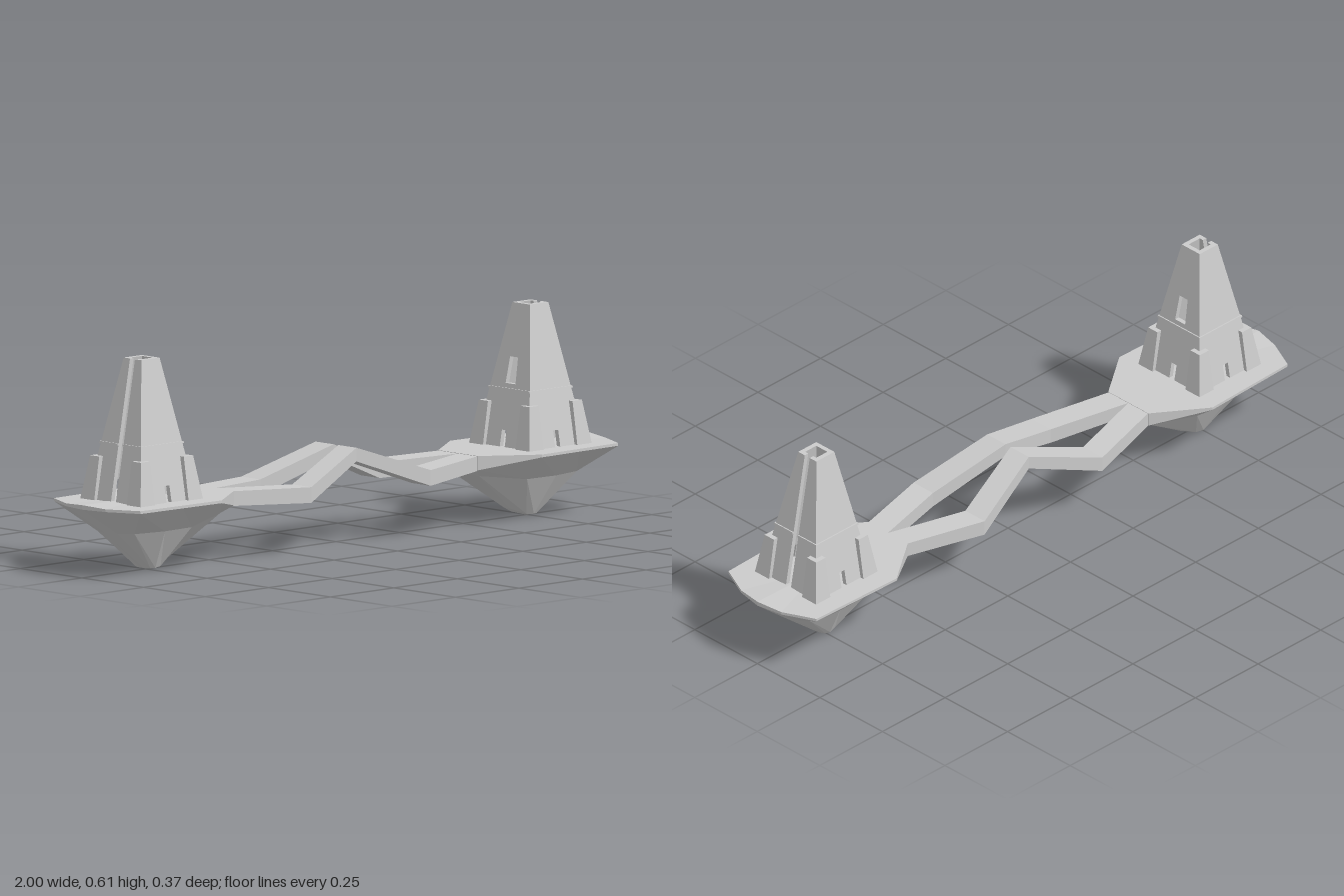
import * as THREE from 'three';

const mat = new THREE.MeshStandardMaterial({ color: 0xcccccc, flatShading: true, side: THREE.DoubleSide });

const BASE = 0.2, TOP = 0.605, WALL = 0.014;
const towerHalf = (y) => 0.036 + (TOP - y) * 0.187; // half width of the tapering tower

function addMesh(parent, geo, name) {
  const m = new THREE.Mesh(geo, mat);
  m.name = name;
  parent.add(m);
  return m;
}

// Joins closed rings of [x, y, z] points into one faceted skin
function loft(rings) {
  const pos = [];
  const same = (p, q) => p.every((v, k) => v === q[k]);
  const tri = (a, b, c) => {
    if (!same(a, b) && !same(b, c) && !same(a, c)) pos.push(...a, ...b, ...c);
  };
  for (let r = 0; r < rings.length - 1; r++) {
    const a = rings[r], b = rings[r + 1], n = a.length;
    for (let i = 0; i < n; i++) {
      const j = (i + 1) % n;
      tri(a[i], a[j], b[i]);
      tri(a[j], b[j], b[i]);
    }
  }
  const g = new THREE.BufferGeometry();
  g.setAttribute('position', new THREE.Float32BufferAttribute(pos, 3));
  g.computeVertexNormals();
  return g;
}

const shape = (pts) => new THREE.Shape(pts.map(([x, y]) => new THREE.Vector2(x, y)));

// Flat panel bent onto the sloping, mitred side of the tower
function slopedPanel(shapes, thickness, proud = 0) {
  const g = new THREE.ExtrudeGeometry(shapes, { depth: thickness, bevelEnabled: false });
  const p = g.attributes.position;
  for (let i = 0; i < p.count; i++) {
    const y = p.getY(i), h = towerHalf(y);
    const z = h + proud - (thickness - p.getZ(i));
    p.setXYZ(i, Math.abs(p.getX(i)) > 0.025 ? (p.getX(i) * z) / h : p.getX(i), y, z);
  }
  g.computeVertexNormals();
  return g;
}

// Side k: 0 and 2 have doors, 1 faces outward with a slit, 3 faces inward with a door and window
function panelShapes(k, y0, y1, door) {
  const a = towerHalf(y0), b = towerHalf(y1), w = 0.01;
  if (k === 1) {
    return [-1, 1].map((s) => shape([[s * w, y0], [s * a, y0], [s * b, y1], [s * w, y1]]));
  }
  const opening = door ? [[-w, y0], [-w, 0.25], [w, 0.25], [w, y0]] : [];
  const s = shape([[-a, y0], ...opening, [a, y0], [b, y1], [-b, y1]]);
  if (door && k === 3) {
    s.holes.push(new THREE.Path([[-0.02, 0.38], [-0.016, 0.455], [0.016, 0.455], [0.02, 0.38]]
      .map(([x, y]) => new THREE.Vector2(x, y))));
  }
  return [s];
}

// Corner post leaning inward on its two outer sides
function buttress(sx, sz) {
  const g = new THREE.BoxGeometry(1, 1, 1);
  const p = g.attributes.position;
  for (let i = 0; i < p.count; i++) {
    const up = p.getY(i) > 0;
    const place = (v, s) => s * (v > 0 ? (up ? 0.103 : 0.123) : 0.066);
    const x = place(p.getX(i), sx), z = place(p.getZ(i), sz);
    p.setXYZ(i, x, up ? 0.326 : BASE, z);
  }
  // Mirrored posts need their faces turned round
  if (sx * sz < 0) g.index.array.reverse();
  g.computeVertexNormals();
  return g;
}

function makeTower() {
  const tower = new THREE.Group();
  tower.name = 'tower';
  for (let k = 0; k < 4; k++) {
    const wall = addMesh(tower, slopedPanel(panelShapes(k, BASE, TOP, true), WALL), 'towerWall');
    const band = addMesh(tower, slopedPanel(panelShapes(k, 0.361, 0.367, false), 0.006, 0.0035), 'towerBand');
    wall.rotation.y = band.rotation.y = (k * Math.PI) / 2;
  }
  for (const sx of [-1, 1]) for (const sz of [-1, 1]) addMesh(tower, buttress(sx, sz), 'cornerButtress');
  tower.position.x = 0.765;
  return tower;
}

// Mirrors half a ring (tip to inner end) across z = 0
const fullRing = (half) => [...half, ...half.slice(1, -1).reverse().map(([x, y, z]) => [x, y, -z])];

function makeIsland() {
  const outline = [[1, 0], [0.985, 0.08], [0.94, 0.176], [0.78, 0.181], [0.63, 0.186], [0.48, 0.08], [0.48, 0]];
  const rimTop = fullRing(outline.map(([x, z], i) => [x, i === 0 ? 0.208 : 0.203, z]));
  const rimLow = fullRing(outline.map(([x, z], i) => [x, i > 4 ? 0.162 : 0.195, z]));
  const middle = fullRing([
    [0.91, 0.12, 0], [0.9, 0.12, 0.04], [0.87, 0.12, 0.08], [0.77, 0.12, 0.1],
    [0.66, 0.12, 0.095], [0.51, 0.14, 0.055], [0.51, 0.14, 0],
  ]);
  const low = fullRing([
    [0.772, 0.007, 0], [0.768, 0.006, 0.015], [0.76, 0.006, 0.03], [0.745, 0.006, 0.035],
    [0.72, 0.008, 0.03], [0.675, 0.025, 0.012], [0.675, 0.025, 0],
  ]);
  const point = (x, y) => rimTop.map(() => [x, y, 0]);
  return loft([point(0.75, 0.203), rimTop, rimLow, middle, low, point(0.745, 0)]);
}

// One zigzag strand: [x, inner z, outer z, top y, bottom y]
function makeStrand() {
  const half = [[0, 0.01, 0.083, 0.277, 0.238], [0.235, 0.065, 0.142, 0.195, 0.15], [0.48, 0, 0.078, 0.202, 0.16]];
  const all = [...half.slice(1).reverse().map(([x, ...r]) => [-x, ...r]), ...half];
  return loft(all.map(([x, zi, zo, t, b]) => [[x, t, zi], [x, t, zo], [x, b, zo], [x, b, zi]]));
}

export function createModel() {
  const model = new THREE.Group();
  model.name = 'twinTowerIslands';
  for (let i = 0; i < 2; i++) {
    const side = new THREE.Group();
    side.name = i ? 'rightSide' : 'leftSide';
    addMesh(side, makeIsland(), 'floatingIsland');
    side.add(makeTower());
    addMesh(side, makeStrand(), 'bridgeStrand');
    side.rotation.y = i * Math.PI;
    model.add(side);
  }
  return model;
}
